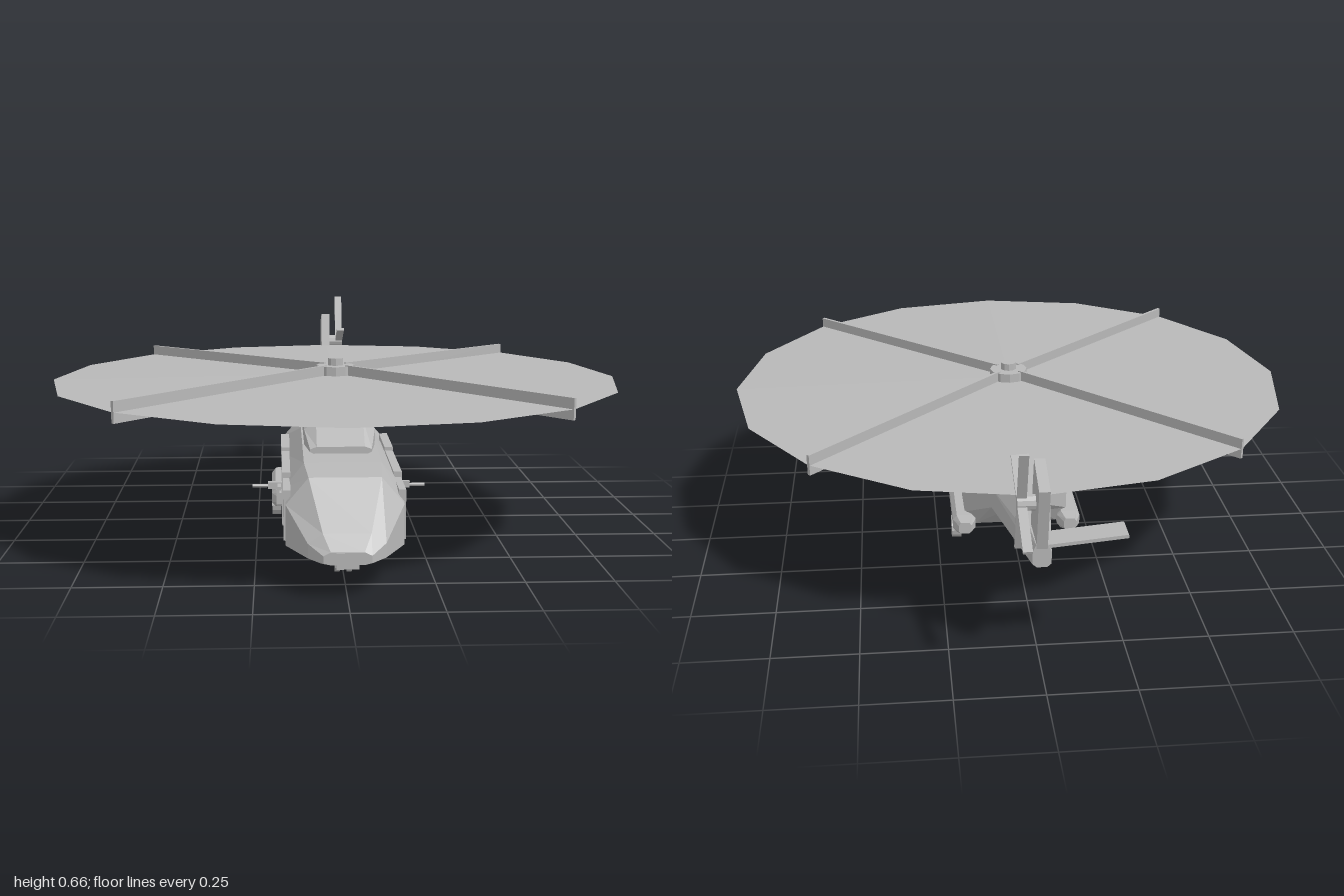
import * as THREE from 'three';

const grey = new THREE.MeshStandardMaterial({ color: 0xb8b8b8, flatShading: true });
grey.name = 'airframe grey';
const discGrey = new THREE.MeshStandardMaterial({ color: 0xb8b8b8, side: THREE.DoubleSide, flatShading: true });
discGrey.name = 'rotor disc grey';

function add(parent, name, geo, x = 0, y = 0, z = 0, mat = grey) {
  const m = new THREE.Mesh(geo, mat);
  m.name = name;
  m.position.set(x, y, z);
  parent.add(m);
  return m;
}
const box = (w, h, d) => new THREE.BoxGeometry(w, h, d);

// Eight-sided body through rows of [z, bottomY, bottomHalf, lowY, highY, midHalf, topY, topHalf]
function loft(rows) {
  const pos = [];
  const rings = rows.map(([z, yb, wb, y1, y2, wm, yt, wt]) => [
    [-wb, yb, z], [wb, yb, z], [wm, y1, z], [wm, y2, z],
    [wt, yt, z], [-wt, yt, z], [-wm, y2, z], [-wm, y1, z],
  ]);
  const tri = (a, b, c) => pos.push(...a, ...b, ...c);
  for (let r = 0; r < rings.length - 1; r++) {
    for (let i = 0; i < 8; i++) {
      const j = (i + 1) % 8, p = rings[r], q = rings[r + 1];
      tri(p[i], q[i], q[j]);
      tri(p[i], q[j], p[j]);
    }
  }
  const first = rings[0], last = rings[rings.length - 1];
  for (let i = 1; i < 7; i++) {
    tri(first[0], first[i], first[i + 1]);
    tri(last[0], last[i + 1], last[i]);
  }
  const g = new THREE.BufferGeometry();
  g.setAttribute('position', new THREE.Float32BufferAttribute(pos, 3));
  g.computeVertexNormals();
  return g;
}

// Wheel with its axle along x
function wheel(parent, name, r, w, x, y, z) {
  const g = new THREE.CylinderGeometry(r, r, w, 14);
  g.rotateZ(Math.PI / 2);
  add(parent, name, g, x, y, z);
}

export function createModel() {
  const model = new THREE.Group();
  model.name = 'helicopter';

  // Cabin and tail boom
  add(model, 'fuselage', loft([
    [0.885, 0.095, 0.045, 0.10, 0.12, 0.065, 0.13, 0.045],
    [0.85, 0.09, 0.07, 0.105, 0.145, 0.105, 0.172, 0.065],
    [0.74, 0.084, 0.11, 0.11, 0.225, 0.163, 0.30, 0.10],
    [0.60, 0.08, 0.13, 0.115, 0.24, 0.167, 0.312, 0.11],
    [0.10, 0.078, 0.13, 0.115, 0.24, 0.167, 0.322, 0.11],
    [-0.135, 0.085, 0.13, 0.128, 0.25, 0.165, 0.325, 0.10],
    [-0.295, 0.20, 0.06, 0.218, 0.285, 0.09, 0.352, 0.04],
    [-0.865, 0.315, 0.014, 0.325, 0.36, 0.026, 0.383, 0.016],
  ]));
  add(model, 'chinSensor', box(0.06, 0.045, 0.05), 0, 0.106, 0.862);

  // Engine cowling on the roof
  add(model, 'engineCowling', loft([
    [0.487, 0.315, 0.08, 0.32, 0.328, 0.09, 0.335, 0.07],
    [0.396, 0.312, 0.085, 0.325, 0.37, 0.105, 0.398, 0.07],
    [-0.15, 0.30, 0.085, 0.325, 0.37, 0.105, 0.396, 0.07],
    [-0.31, 0.30, 0.045, 0.31, 0.335, 0.06, 0.354, 0.035],
  ]));

  for (const s of [1, -1]) {
    const side = s > 0 ? 'left' : 'right';
    // Doors and side panels
    add(model, side + 'CockpitDoor', box(0.02, 0.14, 0.16), s * 0.159, 0.19, 0.64);
    add(model, side + 'CrewDoor', box(0.024, 0.155, 0.31), s * 0.16, 0.197, 0.40);
    add(model, side + 'CabinDoor', box(0.026, 0.155, 0.23), s * 0.16, 0.206, 0.12);
    add(model, side + 'Exhaust', box(0.05, 0.034, 0.085), s * 0.11, 0.371, -0.125);

    // Side pod with main wheel
    const pod = add(model, side + 'Sponson', loft([
      [0.18, 0.09, 0.014, 0.097, 0.117, 0.02, 0.127, 0.014],
      [0.14, 0.076, 0.024, 0.088, 0.118, 0.036, 0.133, 0.024],
      [-0.17, 0.074, 0.024, 0.088, 0.118, 0.036, 0.133, 0.024],
      [-0.215, 0.09, 0.014, 0.097, 0.117, 0.02, 0.127, 0.014],
    ]));
    pod.position.x = s * 0.168;
    wheel(model, side + 'MainWheel', 0.037, 0.03, s * 0.189, 0.038, -0.055);
    add(model, side + 'MainStrut', box(0.016, 0.06, 0.022), s * 0.168, 0.06, -0.055);

    // Door gun on a post
    const gun = new THREE.Group();
    gun.name = side + 'DoorGun';
    gun.position.set(s * 0.18, 0.19, 0.35);
    const barrel = new THREE.CylinderGeometry(0.005, 0.005, 0.1, 6);
    barrel.rotateZ(Math.PI / 2);
    add(gun, 'barrel', barrel, s * 0.03, 0, 0);
    add(gun, 'receiver', box(0.045, 0.02, 0.018), s * 0.012, 0.002, 0);
    add(gun, 'handle', box(0.01, 0.01, 0.08), 0, 0.004, 0.02);
    add(gun, 'post', box(0.01, 0.06, 0.012), s * 0.004, -0.03, -0.01);
    model.add(gun);

    wheel(model, side + 'NoseWheel', 0.03, 0.014, s * 0.017, 0.03, 0.62);
  }
  add(model, 'noseStrut', box(0.014, 0.07, 0.016), 0, 0.06, 0.62);

  // Main rotor
  const rotor = new THREE.Group();
  rotor.name = 'mainRotor';
  rotor.position.set(0, 0, 0.11);
  add(rotor, 'mast', new THREE.CylinderGeometry(0.03, 0.03, 0.13, 8), 0, 0.44, 0);
  add(rotor, 'hub', new THREE.CylinderGeometry(0.06, 0.06, 0.035, 12), 0, 0.507, 0);
  add(rotor, 'hubCap', new THREE.CylinderGeometry(0.025, 0.025, 0.06, 10), 0, 0.517, 0);
  add(rotor, 'rotorDisc', new THREE.ConeGeometry(0.885, 0.014, 16, 1, true), 0, 0.49, 0, discGrey);
  for (let i = 0; i < 4; i++) {
    const arm = new THREE.Group();
    arm.name = 'mainBlade' + (i + 1);
    arm.rotation.y = Math.PI / 4 + i * Math.PI / 2;
    const blade = add(arm, 'blade', box(0.84, 0.062, 0.01), 0.465, 0.49, 0);
    blade.rotation.z = -0.016;
    rotor.add(arm);
  }
  model.add(rotor);

  // Tail fin, drawn in (-z, y) and turned into the side plane
  const fin = new THREE.Shape([[0.72, 0.37], [0.865, 0.37], [0.914, 0.56], [0.79, 0.60]]
    .map(([a, b]) => new THREE.Vector2(a, b)));
  const finGeo = new THREE.ExtrudeGeometry(fin, { depth: 0.03, bevelEnabled: false });
  finGeo.translate(0, 0, -0.015);
  finGeo.rotateY(Math.PI / 2);
  add(model, 'tailFin', finGeo);

  // Single stabiliser on the right
  const stab = add(model, 'stabiliser', box(0.23, 0.01, 0.08), -0.12, 0.383, -0.82);
  stab.rotation.z = -0.09;

  // Tail rotor on the left of the fin
  const tail = new THREE.Group();
  tail.name = 'tailRotor';
  tail.position.set(0.052, 0.492, -0.83);
  const hub = new THREE.CylinderGeometry(0.022, 0.022, 0.05, 10);
  hub.rotateZ(Math.PI / 2);
  add(tail, 'tailHub', hub, -0.012, 0, 0);
  for (let i = 0; i < 4; i++) {
    const arm = new THREE.Group();
    arm.name = 'tailBlade' + (i + 1);
    arm.rotation.x = -0.36 + i * Math.PI / 2 + Math.PI / 2;
    add(arm, 'blade', box(0.026, 0.17, 0.008), 0, 0.092, 0);
    tail.add(arm);
  }
  tail.rotation.x = 0.72 - 0.36 - 0.36;
  model.add(tail);

  return model;
}
